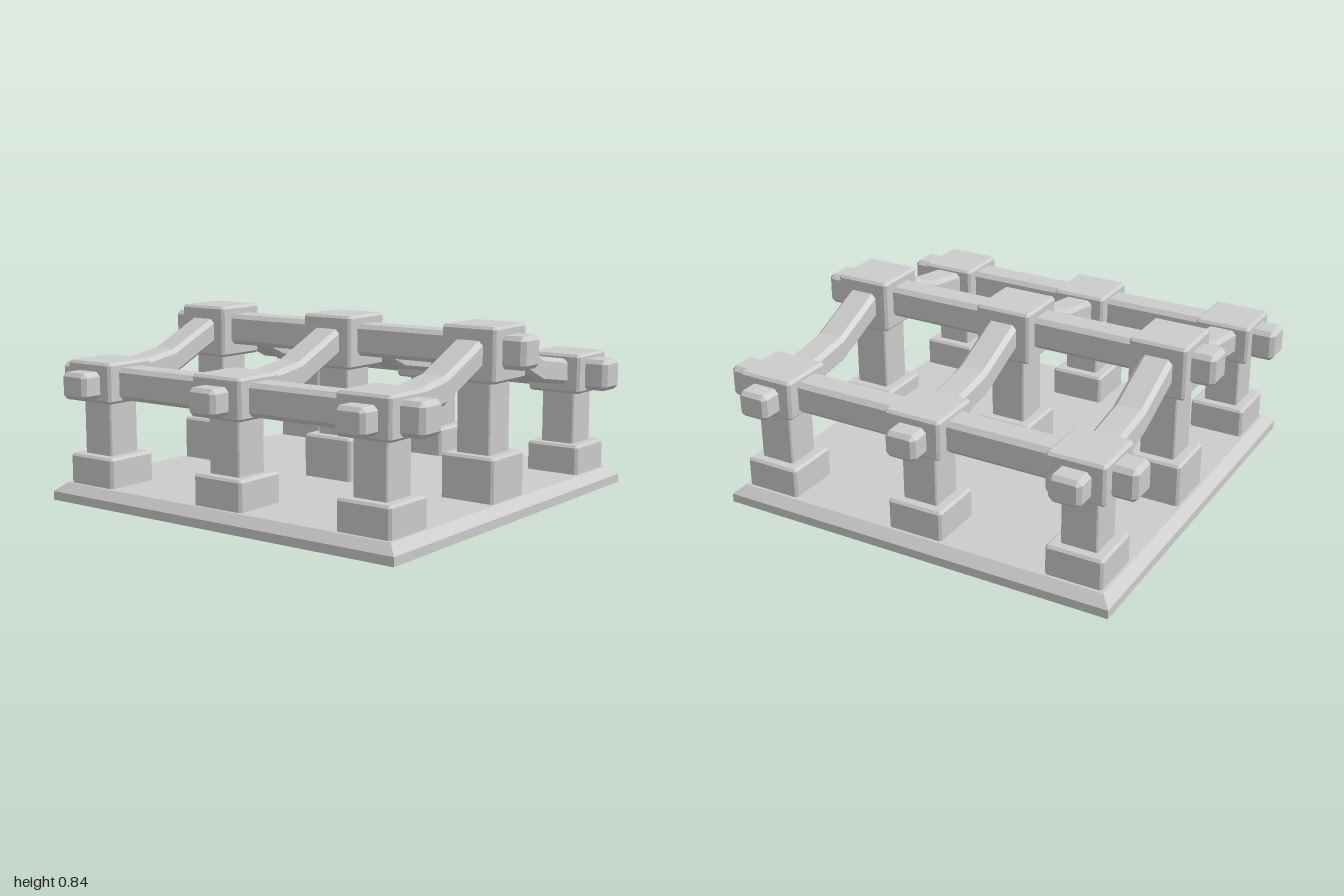
import * as THREE from 'three';
import { ConvexGeometry } from 'three/addons/geometries/ConvexGeometry.js';

const material = new THREE.MeshStandardMaterial({ color: 0xcccccc, flatShading: true });
const shellMaterial = new THREE.MeshStandardMaterial({ color: 0xcccccc, flatShading: true, side: THREE.DoubleSide });
const GRID = [-0.76, 0, 0.76];

function add(parent, name, geometry, x = 0, y = 0, z = 0) {
  const mesh = new THREE.Mesh(geometry, material);
  mesh.name = name;
  mesh.position.set(x, y, z);
  parent.add(mesh);
  return mesh;
}

// Box with every edge cut at 45 degrees
function chamferBox(w, h, d, c) {
  const points = [];
  for (const i of [-0.5, 0.5]) for (const j of [-0.5, 0.5]) for (const k of [-0.5, 0.5]) {
    const full = [i * w, j * h, k * d];
    const inset = [i * (w - 2 * c), j * (h - 2 * c), k * (d - 2 * c)];
    for (let axis = 0; axis < 3; axis++) {
      const p = [...inset];
      p[axis] = full[axis];
      points.push(new THREE.Vector3(...p));
    }
  }
  return new ConvexGeometry(points);
}

// Octagonal bar lofted along z; each station is [z, centre y, inset]
function loftBar(stations, w, h, c) {
  const positions = [], index = [];
  for (const [z, y, inset] of stations) {
    const a = w / 2 - inset, b = h / 2 - inset, k = inset ? 0.004 : c;
    const ring = [[a, -b + k], [a, b - k], [a - k, b], [-a + k, b],
      [-a, b - k], [-a, -b + k], [-a + k, -b], [a - k, -b]];
    for (const [px, py] of ring) positions.push(px, y + py, z);
  }
  const last = (stations.length - 1) * 8;
  for (let s = 0; s < last; s += 8) {
    for (let i = 0; i < 8; i++) {
      const j = (i + 1) % 8;
      index.push(s + i, s + j, s + 8 + j, s + i, s + 8 + j, s + 8 + i);
    }
  }
  for (let i = 1; i < 7; i++) index.push(0, i + 1, i, last, last + i, last + i + 1);
  let g = new THREE.BufferGeometry();
  g.setAttribute('position', new THREE.Float32BufferAttribute(positions, 3));
  g.setIndex(index);
  g = g.toNonIndexed();
  g.computeVertexNormals();
  return g;
}

// Square tray, open underneath, with a sloped upper edge
function createBase() {
  const profile = [[0.95, 0], [0.95, 0.04], [0.905, 0.08], [0, 0.08]]
    .map(([half, y]) => new THREE.Vector2(half * Math.SQRT2, y));
  const geometry = new THREE.LatheGeometry(profile, 4).rotateY(Math.PI / 4).toNonIndexed();
  geometry.computeVertexNormals();
  const base = new THREE.Mesh(geometry, shellMaterial);
  base.name = 'base';
  return base;
}

function createPost(x, z) {
  const post = new THREE.Group();
  post.name = 'post';
  post.position.set(x, 0, z);
  const middle = z === 0;
  const footBottom = 0.05;
  const footTop = middle ? 0.28 : 0.217;
  const capBottom = middle ? 0.598 : 0.463;
  const capTop = middle ? 0.842 : 0.647;
  // The foot passes through the floor and shows beneath it
  add(post, 'foot', chamferBox(0.264, footTop - footBottom, 0.264, 0.011), 0, (footTop + footBottom) / 2);
  const shaftHeight = capBottom - footTop + 0.04;
  add(post, 'shaft', chamferBox(0.167, shaftHeight, 0.167, 0.006), 0, (footTop + capBottom) / 2);
  add(post, 'cap', chamferBox(0.267, capTop - capBottom, 0.267, 0.012), 0, (capTop + capBottom) / 2);
  return post;
}

export function createModel() {
  const model = new THREE.Group();
  model.name = 'postAndBeamFrame';
  model.add(createBase());

  for (const x of GRID) for (const z of GRID) model.add(createPost(x, z));

  // Straight beams across the width
  for (const z of GRID)
    add(model, 'crossBeam', chamferBox(2, 0.145, 0.145, 0.02), 0, z === 0 ? 0.73 : 0.55, z);

  // Bent beams rising to the middle row
  const half = [[0.99, 0.545, 0.018], [0.972, 0.545, 0], [0.76, 0.545, 0], [0.4, 0.6, 0], [0.11, 0.73, 0]];
  const stations = [...half.map(([z, y, c]) => [-z, y, c]), [0, 0.74, 0], ...half.reverse()];
  for (const x of GRID) add(model, 'bentBeam', loftBar(stations, 0.148, 0.122, 0.02), x);

  return model;
}
